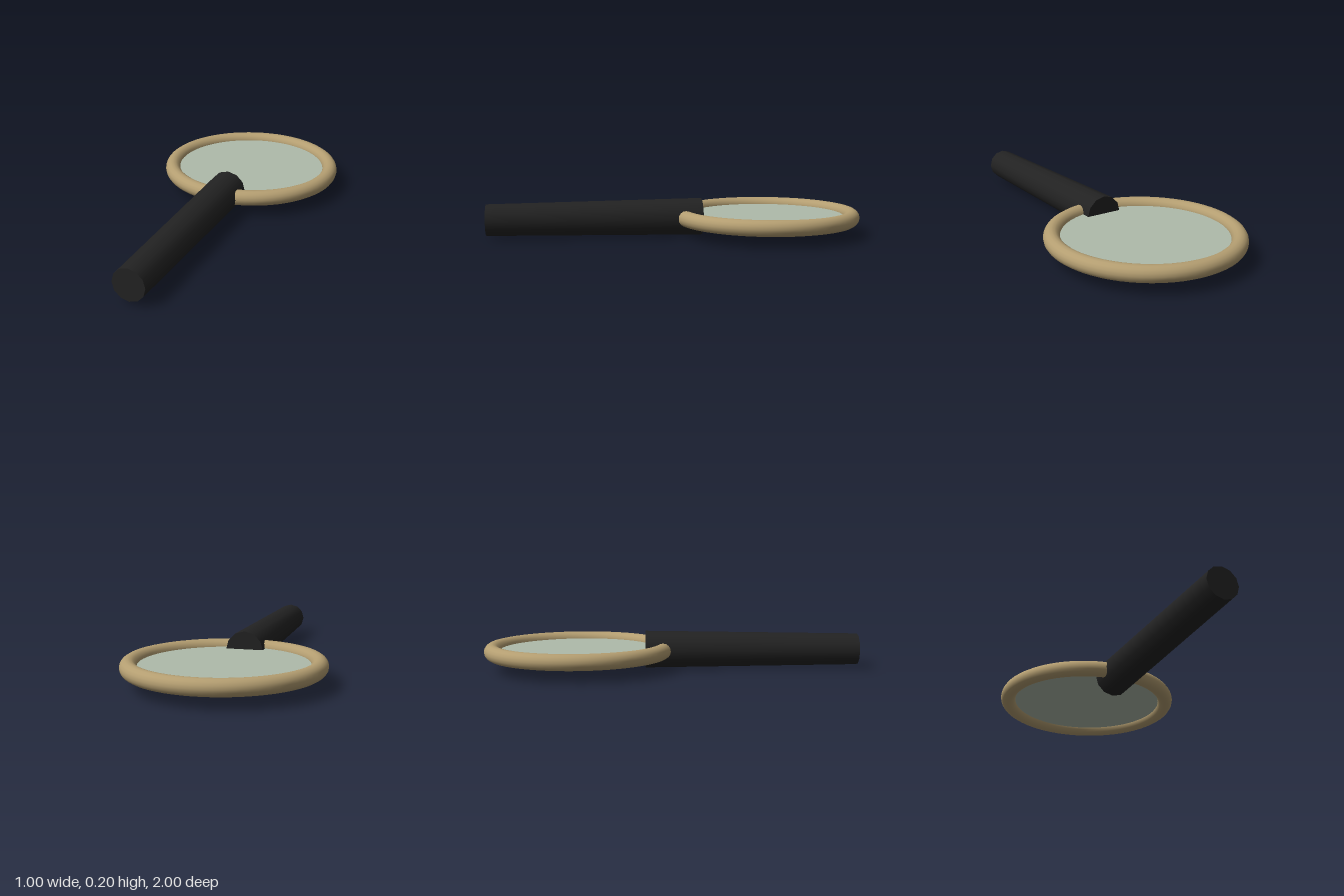
import * as THREE from 'three';

export function createModel() {
  const group = new THREE.Group();
  const material = (name, color) => {
    const m = new THREE.MeshStandardMaterial({ color });
    m.name = name;
    return m;
  };
  const brass = material('brass', 0xb49e71);
  const glass = material('pale green glass', 0xafbbaa);
  const black = material('black handle', 0x222222);

  const axisY = 0.1; // height of the shared centre line
  const lensZ = -0.498;

  const add = (name, geometry, mat, y, z) => {
    const mesh = new THREE.Mesh(geometry, mat);
    mesh.name = name;
    mesh.position.set(0, y, z);
    group.add(mesh);
    return mesh;
  };

  // Round frame lying flat
  const frame = new THREE.TorusGeometry(0.46, 0.042, 16, 64).rotateX(Math.PI / 2);
  add('lensFrame', frame, brass, axisY, lensZ);

  // Thin lens set into the middle of the frame
  add('lens', new THREE.CylinderGeometry(0.435, 0.435, 0.01, 64), glass, axisY, lensZ);

  // Tapered handle, thicker where it grips the frame
  const handle = new THREE.CylinderGeometry(0.084, 0.1, 1.14, 12).rotateX(Math.PI / 2);
  add('handle', handle, black, axisY, 0.43);

  return group;
}
